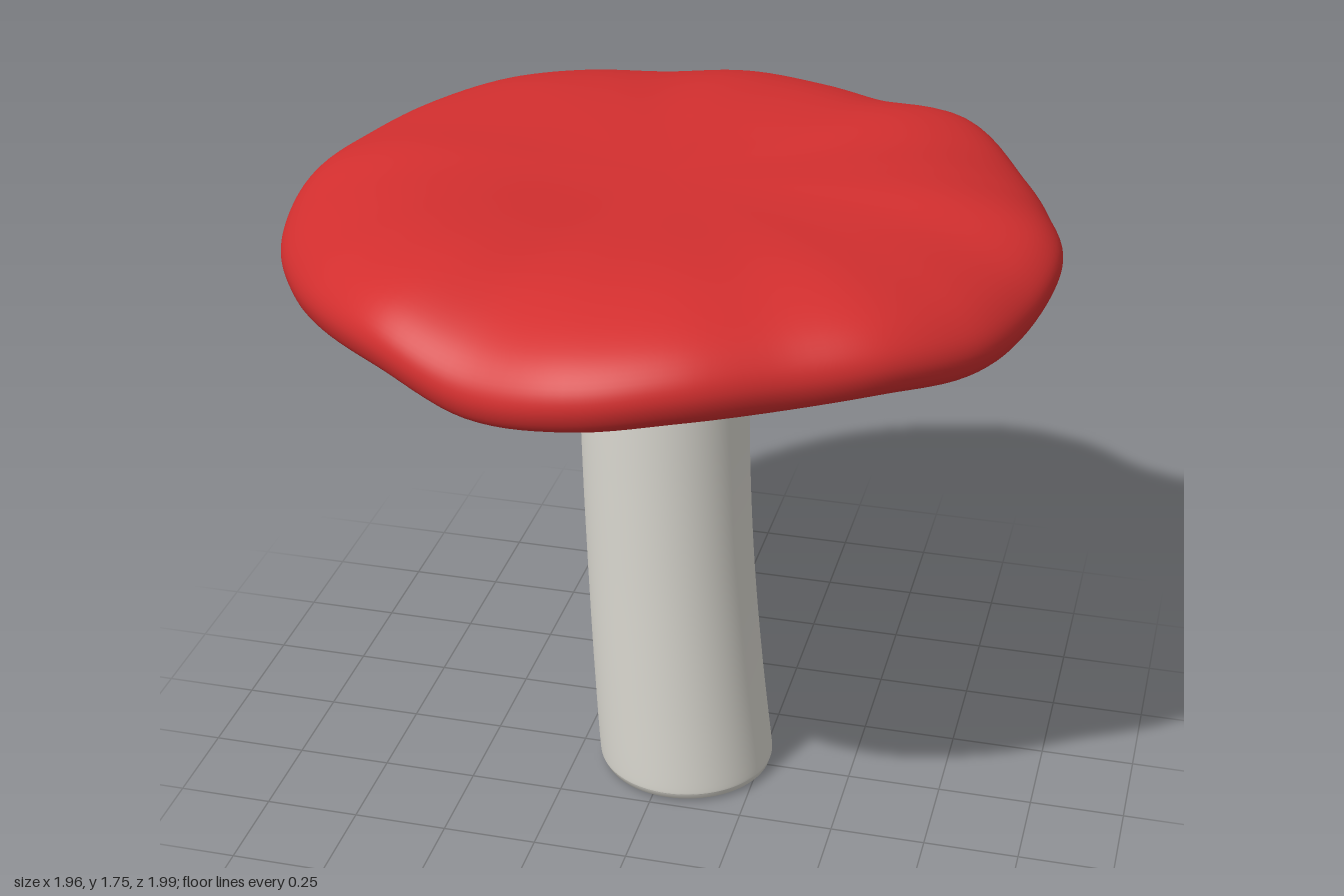
import * as THREE from 'three';

const SEG = 168;

// Rim outline radius every 15 degrees, from +x towards +z
const RIM = [0.975, 0.963, 0.975, 0.962, 0.926, 0.963, 0.992, 0.982, 0.988, 0.969, 0.962, 0.978,
  0.98, 0.984, 0.98, 0.962, 0.963, 0.987, 0.997, 0.988, 0.922, 0.96, 0.968, 0.955];
// Rim height offset every 15 degrees
const WAVE = [0.015, -0.02, -0.01, 0.022, 0.012, 0.015, -0.01, -0.03, 0.03, 0.015, -0.015, -0.025,
  0.0, -0.01, 0.005, 0.025, 0.01, -0.025, -0.01, -0.02, 0.005, 0.04, -0.02, -0.005];

// Smooth periodic interpolation through a list
function around(list, angle) {
  const n = list.length;
  const f = (((angle / (2 * Math.PI)) % 1) + 1) % 1 * n;
  const i = Math.floor(f), t = f - i;
  const [a, b, c, d] = [-1, 0, 1, 2].map((k) => list[(i + k + n) % n]);
  return b + 0.5 * t * (c - a + t * (2 * a - 5 * b + 4 * c - d + t * (3 * (b - c) + d - a)));
}

// Skins closed rings, listed from the top, outwards, down and back in
function loft(profile, place) {
  const pos = [], index = [];
  profile.forEach((p, i) => {
    for (let j = 0; j < SEG; j++) {
      pos.push(...place(p, (j / SEG) * 2 * Math.PI));
      if (i === 0) continue;
      const k = (j + 1) % SEG;
      const a = (i - 1) * SEG + j, b = (i - 1) * SEG + k, c = i * SEG + j, d = i * SEG + k;
      index.push(a, b, c, b, d, c);
    }
  });
  const g = new THREE.BufferGeometry();
  g.setAttribute('position', new THREE.Float32BufferAttribute(pos, 3));
  g.setIndex(index);
  g.computeVertexNormals();
  return g;
}

// Resamples a few [radius, height] points into a smooth profile
function smooth(points, count) {
  return new THREE.SplineCurve(points.map((p) => new THREE.Vector2(...p))).getPoints(count);
}

// Lobed, wavy placement shared by cap and gills
function capPoint(p, angle) {
  const s = p.x;
  const r = s * THREE.MathUtils.lerp(1, around(RIM, angle), s);
  const y = p.y + around(WAVE, angle) * Math.pow(s, 2.5);
  return [r * Math.cos(angle) - 0.02 * (1 - s), y, r * Math.sin(angle)];
}

export function createModel() {
  const group = new THREE.Group();
  const red = new THREE.MeshStandardMaterial({ color: 0xd32f2f });
  red.name = 'cap red';
  const cream = new THREE.MeshStandardMaterial({ color: 0xdad8d0 });
  cream.name = 'stem cream';
  const add = (name, geometry, material) => {
    const mesh = new THREE.Mesh(geometry, material);
    mesh.name = name;
    group.add(mesh);
  };

  // Cap skin, from the centre over the rolled rim
  add('cap', loft(smooth([[0.001, 1.73], [0.25, 1.735], [0.5, 1.745], [0.68, 1.738], [0.82, 1.71],
    [0.92, 1.67], [0.98, 1.62], [1, 1.57], [0.985, 1.52], [0.95, 1.495], [0.93, 1.497]], 48), capPoint), red);

  // Underside with fine radial ridges fading towards the rim
  const under = smooth([[0.935, 1.497], [0.75, 1.462], [0.5, 1.415], [0.32, 1.38], [0.25, 1.36],
    [0.22, 1.335], [0.205, 1.3]], 36);
  add('gills', loft(under, (p, angle) => {
    const q = capPoint(p, angle);
    const fade = THREE.MathUtils.smoothstep(p.x, 0.21, 0.32) * (1 - THREE.MathUtils.smoothstep(p.x, 0.35, 0.75));
    q[1] += 0.004 * fade * Math.cos(42 * angle);
    return q;
  }), cream);

  // Stem, leaning sideways near the foot
  const stem = smooth([[0.2, 1.34], [0.213, 1.28], [0.219, 1.18], [0.22, 0.9], [0.223, 0.6],
    [0.23, 0.3], [0.237, 0.06], [0.236, 0.025]], 40);
  stem.push(...[[0.23, 0.01], [0.22, 0.003], [0.2, 0], [0.001, 0]].map((p) => new THREE.Vector2(...p)));
  add('stem', loft(stem, (p, angle) => {
    const lean = -0.02 + 0.065 * Math.pow(Math.max(0, 1 - p.y / 1.2), 1.8);
    return [p.x * Math.cos(angle) + lean, p.y, p.x * Math.sin(angle)];
  }), cream);

  return group;
}
